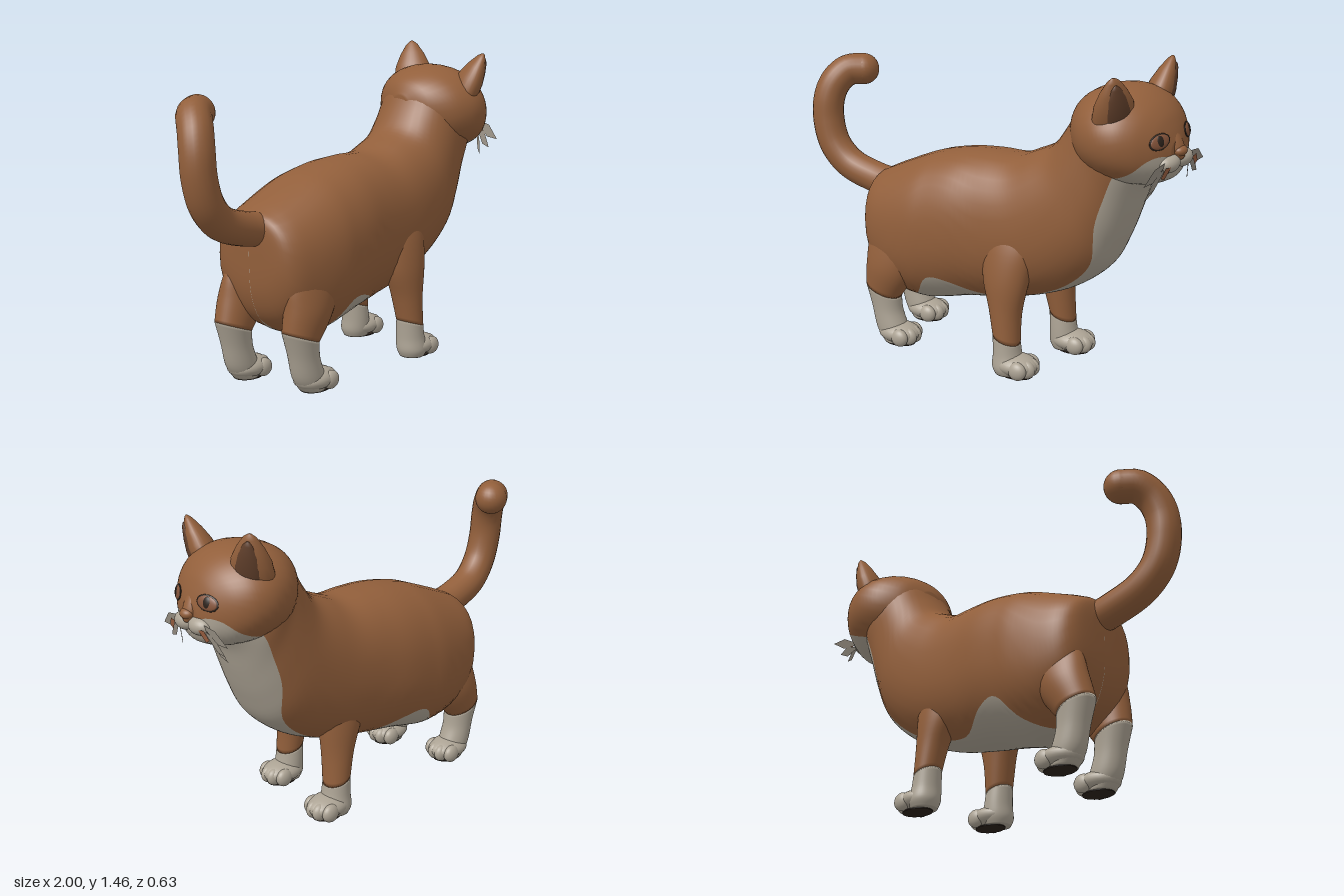
import * as THREE from 'three';

const mat = (name, color, side = THREE.FrontSide) => {
  const m = new THREE.MeshStandardMaterial({ color, side });
  m.name = name;
  return m;
};

// Catmull-Rom through rows of numbers
function smoothRows(rows, steps) {
  const out = [], last = rows.length - 1;
  const at = i => rows[Math.min(last, Math.max(0, i))];
  for (let s = 0; s <= last * steps; s++) {
    const i = Math.min(last - 1, Math.floor(s / steps)), t = s / steps - i;
    out.push(rows[0].map((_, k) => {
      const [a, b, c, d] = [at(i - 1)[k], at(i)[k], at(i + 1)[k], at(i + 2)[k]];
      return b + 0.5 * t * (c - a + t * (2 * a - 5 * b + 4 * c - d + t * (3 * (b - c) + d - a)));
    }));
  }
  return out;
}

// Oval loft. Row: topX, topY, bottomX, bottomY, halfWidth, markingAngle, z.
// The strip within markingAngle of the underside becomes material group 1.
function loft(rows, power = 1, steps = 5) {
  const W = 16, F = 28, N = W + F, pos = [], groups = [[], []];
  const rings = smoothRows(rows, steps);
  const full = v => Math.sign(v) * Math.abs(v) ** power;
  for (const [tx, ty, bx, by, hw, angle, z] of rings) {
    const lim = Math.max(angle, 0.002);
    for (let j = 0; j < N; j++) {
      const a = j <= W ? -lim + 2 * lim * j / W : lim + (2 * Math.PI - 2 * lim) * (j - W) / F;
      const c = full(Math.cos(a)) / 2;
      pos.push((tx + bx) / 2 - (tx - bx) * c, (ty + by) / 2 - (ty - by) * c, z + hw * full(Math.sin(a)));
    }
  }
  const R = rings.length, mid = r => [(r[0] + r[2]) / 2, (r[1] + r[3]) / 2, r[6]];
  pos.push(...mid(rings[0]), ...mid(rings[R - 1]));
  for (let j = 0; j < N; j++) {
    const k = (j + 1) % N, g = groups[j < W ? 1 : 0];
    for (let i = 0; i < R - 1; i++) {
      const a = i * N + j, b = i * N + k;
      g.push(a, b, a + N, b, b + N, a + N);
    }
    g.push(R * N, k, j, R * N + 1, (R - 1) * N + j, (R - 1) * N + k);
  }
  // turn all faces outward using the signed volume
  const v = i => new THREE.Vector3().fromArray(pos, i * 3);
  let volume = 0;
  for (const g of groups) for (let i = 0; i < g.length; i += 3) volume += v(g[i]).dot(v(g[i + 1]).cross(v(g[i + 2])));
  if (volume < 0) groups.forEach(g => g.reverse());
  const geo = new THREE.BufferGeometry();
  geo.setAttribute('position', new THREE.Float32BufferAttribute(pos, 3));
  geo.setIndex([...groups[0], ...groups[1]]);
  geo.addGroup(0, groups[0].length, 0);
  geo.addGroup(groups[0].length, groups[1].length, 1);
  geo.computeVertexNormals();
  return geo;
}

export function createModel() {
  const fur = mat('brown fur', 0x925f3b), white = mat('pale fur', 0xaca394);
  const innerEar = mat('inner ear brown', 0x5f3e2a), dark = mat('dark brown', 0x2c221b);
  const iris = mat('amber iris', 0x85543a), whisker = mat('whisker grey', 0x989084, THREE.DoubleSide);
  const patch = mat('whisker brown', 0x9a5f40, THREE.DoubleSide);
  const cat = new THREE.Group();
  cat.name = 'cat';

  const add = (parent, name, geo, material) => {
    const m = new THREE.Mesh(geo, material);
    m.name = name;
    parent.add(m);
    return m;
  };
  const ball = (parent, name, material, p, r) => {
    const m = add(parent, name, new THREE.SphereGeometry(1, 24, 16), material);
    m.position.set(...p);
    m.scale.set(...r);
    return m;
  };

  // Body and neck, with pale belly and chest
  const bodyRows = [
    [-0.605, 0.74, -0.605, 0.62, 0.07, 0], [-0.59, 0.80, -0.595, 0.45, 0.18, 0],
    [-0.54, 0.83, -0.54, 0.32, 0.245, 0], [-0.45, 0.87, -0.42, 0.235, 0.28, 0.12],
    [-0.3, 0.93, -0.29, 0.215, 0.30, 0.6], [-0.2, 0.957, -0.19, 0.23, 0.298, 1.0],
    [-0.08, 0.977, -0.06, 0.26, 0.292, 0.85],
    [0.05, 0.985, 0.12, 0.29, 0.273, 0.4], [0.18, 0.985, 0.32, 0.335, 0.262, 0.36],
    [0.28, 1.02, 0.5, 0.41, 0.255, 0.45], [0.38, 1.07, 0.64, 0.52, 0.248, 0.62],
    [0.45, 1.16, 0.71, 0.65, 0.238, 0.98], [0.5, 1.25, 0.76, 0.78, 0.23, 1.05],
    [0.56, 1.32, 0.8, 0.9, 0.23, 1.05], [0.64, 1.345, 0.84, 0.97, 0.19, 1.05],
  ].map(r => [...r, -0.018]);
  add(cat, 'body', loft(bodyRows, 0.88), [fur, white]);

  // Tail, curling up with the tip leaning to the right
  const tailPath = new THREE.CatmullRomCurve3([
    [-0.5, 0.73, 0], [-0.65, 0.755, 0], [-0.8, 0.81, 0.01], [-0.885, 0.9, 0.02], [-0.922, 1.02, 0.02],
    [-0.922, 1.13, 0.01], [-0.9, 1.21, -0.02], [-0.86, 1.26, -0.07], [-0.8, 1.265, -0.115],
  ].map(p => new THREE.Vector3(...p)));
  add(cat, 'tail', new THREE.TubeGeometry(tailPath, 48, 0.077, 20), fur);
  ball(cat, 'tailTip', fur, [-0.8, 1.265, -0.115], [0.077, 0.077, 0.077]);

  // Legs: rows of x, y, radiusX, radiusZ, z offset, slope; the sock begins where the upper leg ends
  const frontUpper = [[0.25, 0.74, 0.09, 0.04, -0.07, 0], [0.235, 0.6, 0.125, 0.07, -0.04, 0],
    [0.225, 0.45, 0.114, 0.082, -0.022, 0], [0.23, 0.3, 0.078, 0.074, -0.01, 0.01], [0.243, 0.168, 0.064, 0.066, 0, 0.022]];
  const frontSock = [frontUpper[4], [0.248, 0.1, 0.066, 0.07, 0, 0], [0.255, 0.04, 0.074, 0.074, 0.005, 0], [0.255, 0.004, 0.06, 0.06, 0.005, 0]];
  const hindUpper = [[-0.38, 0.64, 0.1, 0.04, 0, 0], [-0.4, 0.52, 0.15, 0.075, 0, 0],
    [-0.435, 0.38, 0.13, 0.09, 0.005, 0.02], [-0.485, 0.26, 0.09, 0.078, 0, 0.035]];
  const hindSock = [hindUpper[3], [-0.465, 0.17, 0.078, 0.07, 0, 0.015], [-0.435, 0.07, 0.08, 0.07, 0, 0], [-0.41, 0.004, 0.06, 0.06, 0, 0]];

  function leg(name, upper, sock, stride, z, side, pawX) {
    const g = new THREE.Group();
    g.name = name;
    cat.add(g);
    const place = rows => rows.map(([x, y, rx, rz, o, slope]) => {
      const cx = x + stride * Math.min(1, (0.75 - y) / 0.48);
      return [cx + rx, y - slope, cx - rx, y + slope, rz, 1, z + side * o];
    });
    add(g, 'upperLeg', loft(place(upper)), fur);
    add(g, 'sock', loft(place(sock)), white);
    const x = pawX + stride;
    ball(g, 'paw', white, [x + 0.005, 0.052, z], [0.108, 0.051, 0.086]);
    for (let i = 0; i < 4; i++) {
      const o = i - 1.5;
      ball(g, 'toe', white, [x + 0.074 - 0.012 * o * o, 0.045, z + o * 0.041], [0.045, 0.043, 0.03]);
    }
    const sole = add(g, 'sole', new THREE.CylinderGeometry(1, 1, 0.005, 24), dark);
    sole.scale.set(0.078, 1, 0.06);
    sole.position.set(x + 0.01, 0.0025, z);
  }
  leg('leftFrontLeg', frontUpper, frontSock, 0, 0.22, 1, 0.288);
  leg('rightFrontLeg', frontUpper, frontSock, 0.07, -0.185, -1, 0.292);
  leg('leftHindLeg', hindUpper, hindSock, 0, 0.175, 1, -0.4);
  leg('rightHindLeg', hindUpper, hindSock, -0.075, -0.17, -1, -0.4);

  // Head, turned and tilted slightly
  const head = new THREE.Group();
  head.name = 'head';
  const skull = add(head, 'skull', loft([
    [-0.245, 0.07, -0.04, 0.05, 0], [-0.205, 0.14, -0.12, 0.16, 0], [-0.12, 0.19, -0.18, 0.25, 0.25],
    [-0.02, 0.208, -0.205, 0.288, 0.6], [0.07, 0.196, -0.212, 0.278, 0.85], [0.14, 0.16, -0.207, 0.235, 1.1],
    [0.19, 0.11, -0.19, 0.175, 1.42], [0.22, 0.055, -0.17, 0.12, 1.6], [0.24, 0, -0.13, 0.06, 1.6],
  ].map(([x, t, b, w, lim]) => [x, t, x, b, w, lim, 0]), 0.95), [fur, white]);
  const bridge = ball(head, 'noseBridge', fur, [0.217, -0.013, 0], [0.032, 0.085, 0.042]);
  bridge.rotation.z = 0.5;
  ball(head, 'nose', fur, [0.247, -0.05, 0], [0.03, 0.024, 0.036]);
  ball(head, 'chin', white, [0.18, -0.135, 0], [0.055, 0.05, 0.085]);

  const earProfile = [[0.098, -0.05], [0.098, 0], [0.088, 0.06], [0.062, 0.12], [0.03, 0.172], [0.01, 0.19], [0, 0.193]]
    .map(p => new THREE.Vector2(...p));
  const earGeo = new THREE.LatheGeometry(earProfile, 28);
  const kite = (parent, name, a, b, width, material) => {
    const A = new THREE.Vector3(...a), B = new THREE.Vector3(...b);
    const M = A.clone().lerp(B, 0.6), up = new THREE.Vector3(0.15, 1, 0).multiplyScalar(width);
    const geo = new THREE.BufferGeometry().setFromPoints([A, M.clone().sub(up), B, M.clone().add(up)]);
    geo.setIndex([0, 1, 2, 0, 2, 3]);
    geo.computeVertexNormals();
    add(parent, name, geo, material);
  };

  for (const s of [1, -1]) {
    ball(head, 'muzzle', white, [0.218, -0.096, s * 0.054], [0.05, 0.042, 0.066]);

    // Ear with darker inside
    const ear = new THREE.Group();
    ear.name = s > 0 ? 'leftEar' : 'rightEar';
    ear.position.set(0.03, 0.115, s * 0.178);
    ear.rotation.set(0.36, Math.PI / 2 - s * 0.5, s * 0.2, 'YXZ');
    add(ear, 'earShell', earGeo, fur).scale.set(1, 1, 0.65);
    const inside = add(ear, 'earInside', earGeo, innerEar);
    inside.scale.set(0.72, 0.88, 0.48);
    inside.position.z = 0.023;
    head.add(ear);

    // Eye laid on the face surface
    const ray = new THREE.Raycaster(new THREE.Vector3(1, 0.01, s * 0.115), new THREE.Vector3(-1, 0, 0));
    const hit = ray.intersectObject(skull)[0];
    const eye = new THREE.Group();
    eye.name = s > 0 ? 'leftEye' : 'rightEye';
    eye.position.copy(hit.point);
    eye.lookAt(hit.point.clone().add(hit.face.normal));
    const almond = new THREE.Group();
    almond.rotation.z = s * 0.15;
    ball(almond, 'eyeRim', dark, [0, 0, 0], [0.056, 0.035, 0.007]);
    ball(almond, 'iris', iris, [0, 0, 0.002], [0.05, 0.03, 0.009]);
    ball(almond, 'pupil', dark, [0, 0.002, 0.004], [0.022, 0.026, 0.0095]);
    eye.add(almond);
    head.add(eye);

    // Whisker tufts
    kite(head, 'whisker', [0.24, -0.075, s * 0.08], [0.22, -0.15, s * 0.25], 0.03, whisker);
    kite(head, 'whisker', [0.235, -0.1, s * 0.09], [0.21, -0.2, s * 0.21], 0.03, whisker);
    kite(head, 'whisker', [0.23, -0.11, s * 0.1], [0.18, -0.24, s * 0.18], 0.025, whisker);
    kite(head, 'whiskerPatch', [0.257, -0.1, s * 0.09], [0.244, -0.135, s * 0.155], 0.026, patch);
  }
  head.position.set(0.72, 1.15, -0.015);
  head.rotation.set(0.07, -0.1, 0);
  cat.add(head);
  return cat;
}
